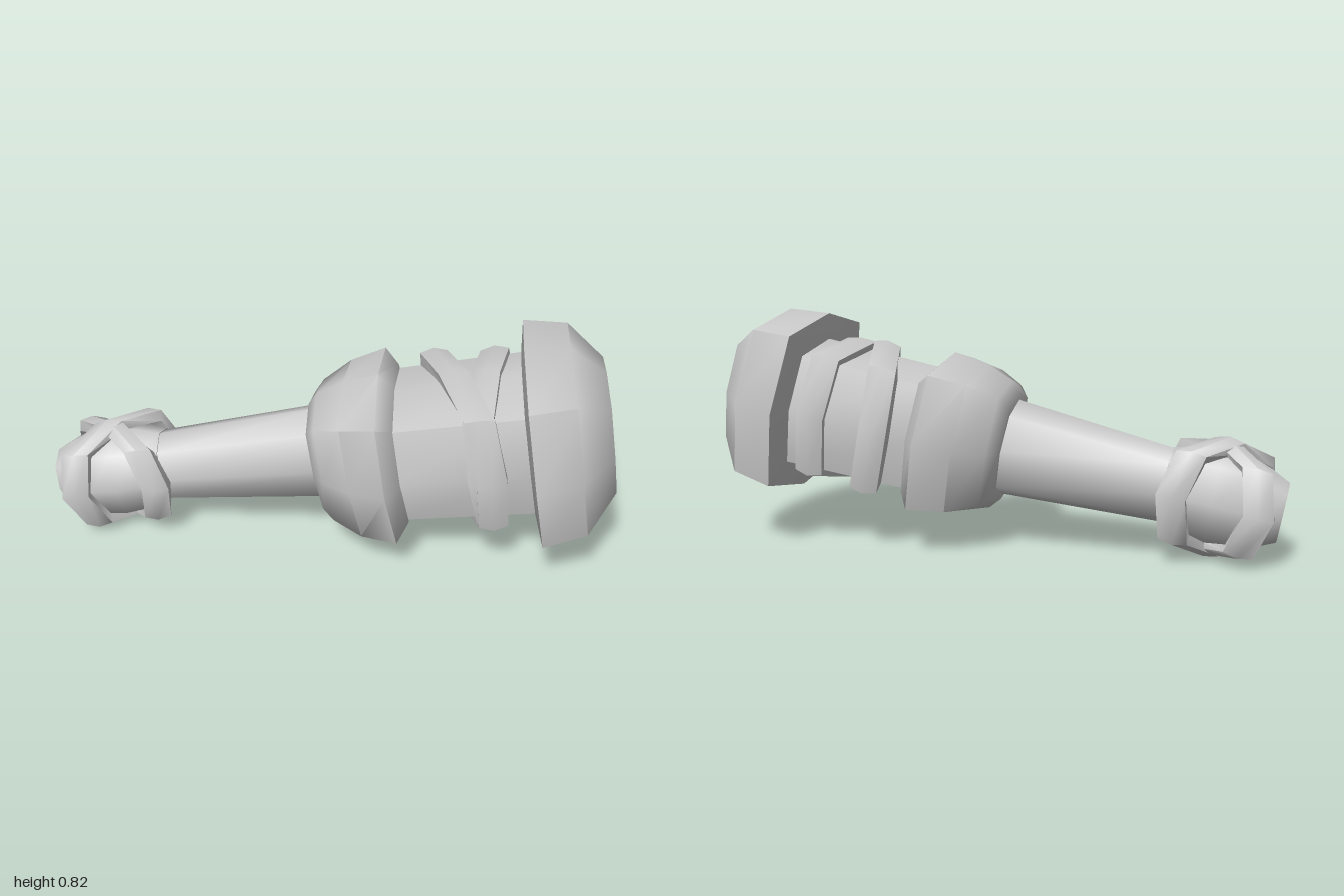
import * as THREE from 'three';
import { toCreasedNormals } from 'three/addons/utils/BufferGeometryUtils.js';

const material = new THREE.MeshStandardMaterial({ color: 0xcccccc, side: THREE.DoubleSide });

// Eight-sided loft along x. Each ring is [x, height radius, depth radius].
// corner: how far the diagonal vertices reach (0.71 is round, higher is boxier).
// tilt: shifts the ring along x from the back (-) to the front (+).
function loft(name, rings, corner = 0.82, tilt = 0, crease = 1.05) {
  const n = 8, pos = [], index = [];
  for (const [x, ry, rz] of rings) {
    for (let j = 0; j < n; j++) {
      const a = (j / n) * Math.PI * 2;
      const f = j % 2 ? corner / Math.SQRT1_2 : 1;
      const y = Math.cos(a) * f, z = Math.sin(a) * f;
      pos.push(x + tilt * THREE.MathUtils.clamp(z, -1, 1), y * ry, z * rz);
    }
  }
  for (let i = 0; i < rings.length - 1; i++) {
    for (let j = 0; j < n; j++) {
      const a = i * n + j, b = i * n + (j + 1) % n;
      index.push(a, b, a + n, b, b + n, a + n);
    }
  }
  const geometry = new THREE.BufferGeometry();
  geometry.setAttribute('position', new THREE.Float32BufferAttribute(pos, 3));
  geometry.setIndex(index);
  const mesh = new THREE.Mesh(toCreasedNormals(geometry, crease), material);
  mesh.name = name;
  return mesh;
}

// Flat strap wound round the club
function strap(name, x, width, ry, rz, thickness, tilt, corner) {
  const w = width / 2, t = thickness;
  return loft(name, [
    [x - w, ry - t, rz - t], [x - w, ry - 0.012, rz - 0.012], [x, ry, rz],
    [x + w, ry - 0.012, rz - 0.012], [x + w, ry - t, rz - t], [x - w, ry - t, rz - t],
  ], corner, tilt, 0.95);
}

export function createModel() {
  const club = new THREE.Group();
  club.name = 'club';

  // Pommel with a hollow end
  club.add(loft('pommel', [
    [-0.95, 0, 0], [-0.955, 0.06, 0.055], [-0.998, 0.08, 0.075], [-0.998, 0.106, 0.1],
    [-0.94, 0.135, 0.125], [-0.86, 0.165, 0.145], [-0.77, 0.172, 0.152],
    [-0.68, 0.16, 0.14], [-0.6, 0.135, 0.115], [-0.58, 0, 0],
  ], 0.74));

  // Tapered handle
  club.add(loft('handle', [[-0.66, 0.128, 0.105], [0.02, 0.178, 0.142]], 0.74));

  // Collar between handle and shaft
  club.add(loft('collar', [
    [-0.035, 0.15, 0.12], [-0.035, 0.195, 0.165], [0.0, 0.235, 0.2],
    [0.1, 0.272, 0.28], [0.225, 0.288, 0.328], [0.27, 0.235, 0.26], [0.275, 0.2, 0.22],
  ]));

  // Thick shaft
  club.add(loft('shaft', [[0.22, 0.222, 0.25], [0.73, 0.235, 0.262]]));

  // Heavy head
  club.add(loft('head', [
    [0.7, 0, 0], [0.705, 0.24, 0.26], [0.72, 0.326, 0.376],
    [0.872, 0.312, 0.335], [0.98, 0.205, 0.202], [0.982, 0, 0],
  ], 0.82));

  // Pommel straps, crossing above and below
  club.add(strap('pommelStrapA', -0.77, 0.1, 0.205, 0.172, 0.05, 0.155, 0.76));
  club.add(strap('pommelStrapB', -0.775, 0.1, 0.214, 0.18, 0.05, -0.14, 0.76));

  // Shaft straps
  club.add(strap('shaftStrapA', 0.48, 0.1, 0.276, 0.304, 0.06, 0.1, 0.82));
  club.add(strap('shaftStrapB', 0.585, 0.1, 0.265, 0.288, 0.05, -0.035, 0.82));

  club.rotation.z = 0.185;
  club.position.y = 0.36;

  const model = new THREE.Group();
  model.name = 'model';
  model.add(club);
  return model;
}
